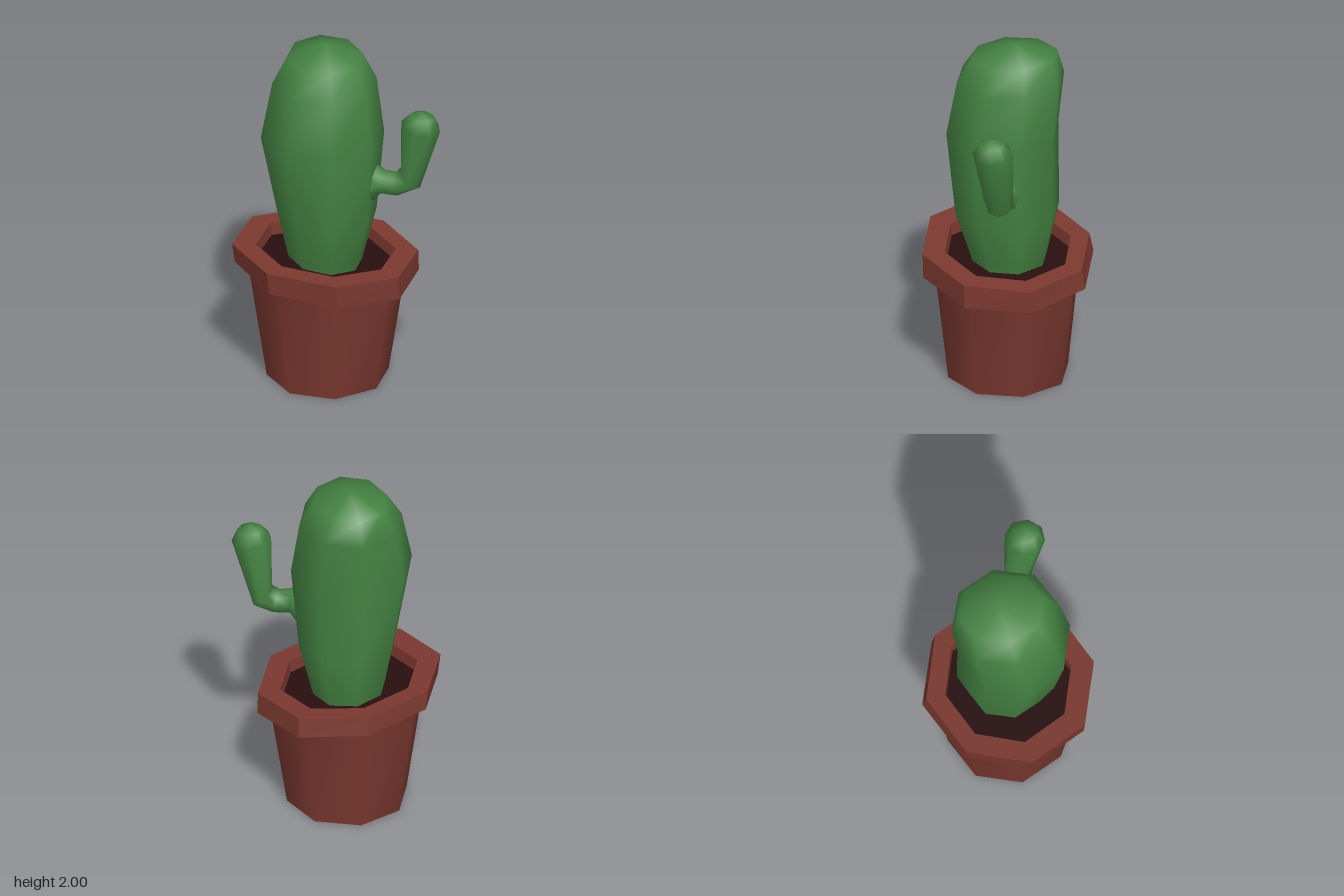
import * as THREE from 'three';
import { mergeVertices } from 'three/addons/utils/BufferGeometryUtils.js';

const SIDES = 8;

// Skins a list of rings (each an array of SIDES points, outward when stacked upwards)
function loft(rings) {
  const pos = rings.flat().flatMap((p) => [p.x, p.y, p.z]);
  const index = [];
  for (let i = 0; i < rings.length - 1; i++) {
    for (let j = 0; j < SIDES; j++) {
      const k = (j + 1) % SIDES;
      const a = i * SIDES + j, b = i * SIDES + k;
      const c = b + SIDES, d = a + SIDES;
      index.push(a, b, c, a, c, d);
    }
  }
  let geo = new THREE.BufferGeometry();
  geo.setAttribute('position', new THREE.Float32BufferAttribute(pos, 3));
  geo.setIndex(index);
  geo = mergeVertices(geo);
  geo.computeVertexNormals();
  return geo;
}

// Octagonal ring spanning x0..x1 and z0..z1; height may be a number or a function of (x, z)
function ring(x0, x1, z0, z1, height) {
  return Array.from({ length: SIDES }, (_, j) => {
    const t = (j / SIDES) * Math.PI * 2;
    const x = (x0 + x1) / 2 + ((x1 - x0) / 2) * Math.cos(t);
    const z = (z0 + z1) / 2 - ((z1 - z0) / 2) * Math.sin(t);
    return new THREE.Vector3(x, typeof height === 'function' ? height(x, z) : height, z);
  });
}

// Ring around the arm's path, facing along a direction raised by the given angle
function armRing(x, y, z, radius, degrees) {
  const e = THREE.MathUtils.degToRad(degrees);
  const out = new THREE.Vector3(0.92, 0, 0.39).normalize();
  const up = new THREE.Vector3(0, 1, 0);
  const v = up.clone().cross(out);
  const dir = out.clone().multiplyScalar(Math.cos(e)).addScaledVector(up, Math.sin(e));
  const u = v.clone().cross(dir);
  return Array.from({ length: SIDES }, (_, j) => {
    const t = (j / SIDES) * Math.PI * 2;
    return new THREE.Vector3(x, y, z)
      .addScaledVector(u, radius * Math.cos(t))
      .addScaledVector(v, radius * Math.sin(t));
  });
}

export function createModel() {
  const group = new THREE.Group();
  const cactusGreen = new THREE.MeshStandardMaterial({ color: 0x458343 });
  const terracotta = new THREE.MeshStandardMaterial({ color: 0x7a382f });
  const rimTerracotta = terracotta.clone();
  rimTerracotta.flatShading = true;
  const soilBrown = new THREE.MeshStandardMaterial({ color: 0x280e0f });
  cactusGreen.name = 'cactus green';
  terracotta.name = 'terracotta';
  rimTerracotta.name = 'terracotta flat';
  soilBrown.name = 'soil brown';

  const add = (name, geometry, material) => {
    const mesh = new THREE.Mesh(geometry, material);
    mesh.name = name;
    group.add(mesh);
  };

  // The rim sits crooked on the pot
  const rimTop = (x, z) => 0.766 - 0.098 * x - 0.012 * z;
  const rimBottom = (x, z) => 0.647 - 0.108 * x - 0.045 * z;
  const soilLevel = (x, z) => rimTop(x, z) - 0.07;

  // Tapered pot with a flat base
  add('pot', loft([
    ring(-0.37, 0.305, -0.34, 0.34, 0),
    ring(-0.475, 0.4, -0.412, 0.412, (x, z) => rimBottom(x, z) + 0.01),
  ]), terracotta);
  add('potBase', loft([
    ring(-0.03, -0.03, 0, 0, 0),
    ring(-0.37, 0.305, -0.34, 0.34, 0),
  ]), terracotta);

  // Thick rim: underside, outer wall, top, inner wall
  add('rim', loft([
    ring(-0.46, 0.39, -0.4, 0.4, rimBottom),
    ring(-0.545, 0.472, -0.485, 0.48, rimBottom),
    ring(-0.562, 0.467, -0.465, 0.481, rimTop),
    ring(-0.43, 0.345, -0.358, 0.355, rimTop),
    ring(-0.42, 0.335, -0.35, 0.347, (x, z) => soilLevel(x, z) - 0.02),
  ]), rimTerracotta);

  add('soil', loft([
    ring(-0.425, 0.34, -0.354, 0.351, soilLevel),
    ring(-0.04, -0.04, 0, 0, soilLevel),
  ]), soilBrown);

  // Main stem, leaning and swelling towards the top
  add('cactusBody', loft([
    ring(-0.235, 0.155, -0.215, 0.195, 0.66),
    ring(-0.25, 0.172, -0.23, 0.21, 0.73),
    ring(-0.31, 0.238, -0.29, 0.298, 1.0),
    ring(-0.405, 0.277, -0.293, 0.342, 1.48),
    ring(-0.337, 0.24, -0.322, 0.288, 1.79),
    ring(-0.25, 0.165, -0.28, 0.2, 1.935),
    ring(-0.04, -0.04, -0.05, -0.05, 2.0),
  ]), cactusGreen);

  // Side arm: flared root, elbow and rounded club end
  add('cactusArm', loft([
    armRing(0.17, 1.2, 0.095, 0.15, 0),
    armRing(0.25, 1.22, 0.122, 0.07, 0),
    armRing(0.33, 1.212, 0.152, 0.067, 12),
    armRing(0.405, 1.255, 0.165, 0.077, 45),
    armRing(0.455, 1.592, 0.215, 0.112, 80),
    armRing(0.462, 1.655, 0.222, 0.07, 85),
    armRing(0.462, 1.682, 0.225, 0, 90),
  ]), cactusGreen);

  return group;
}
